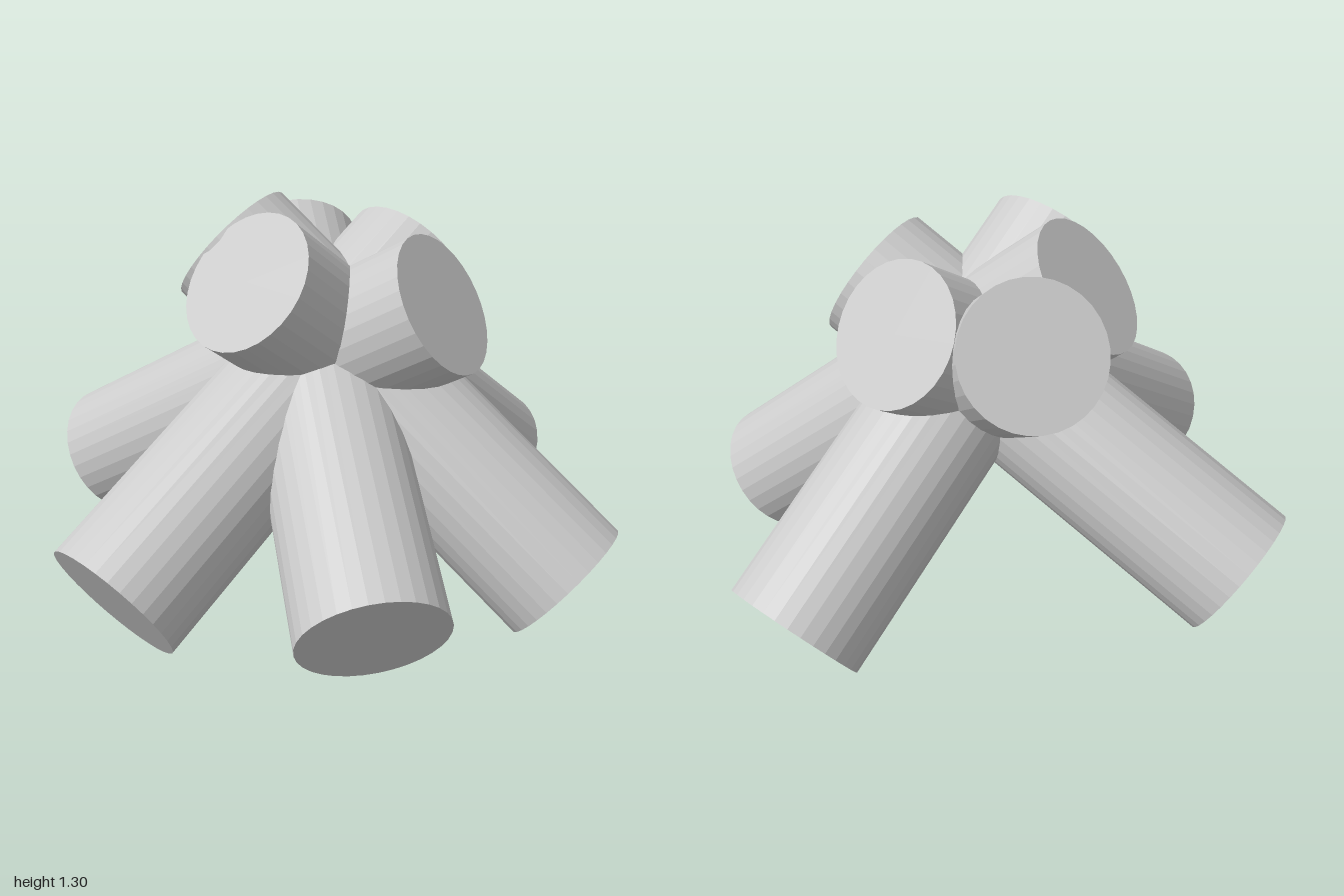
import * as THREE from 'three';

const RADIUS = 0.228;
const SIDES = 32;

// Each log runs from its foot to its upper end, all crossing at one hub
const LOGS = [
  { name: 'frontLog', foot: [0.02, 0.25, 0.88], top: [0.02, 1.04, -0.4] },
  { name: 'backLog', foot: [0.02, 0.202, -0.86], top: [0.02, 1.115, 0.335] },
  { name: 'rightLog', foot: [-0.845, 0.265, 0.235], top: [0.405, 1.03, -0.12] },
  { name: 'leftBackLog', foot: [0.81, 0.178, -0.275], top: [-0.302, 1.127, 0.105] },
  { name: 'leftFrontLog', foot: [0.695, 0.25, 0.483], top: [-0.372, 1.04, -0.225] },
];

// Straight capped cylinder between two points
function makeLog({ name, foot, top }, material) {
  const a = new THREE.Vector3(...foot);
  const b = new THREE.Vector3(...top);
  const axis = b.clone().sub(a);
  const log = new THREE.Mesh(
    new THREE.CylinderGeometry(RADIUS, RADIUS, axis.length(), SIDES),
    material,
  );
  log.name = name;
  log.position.copy(a).add(b).multiplyScalar(0.5);
  log.quaternion.setFromUnitVectors(new THREE.Vector3(0, 1, 0), axis.normalize());
  return log;
}

export function createModel() {
  const group = new THREE.Group();
  group.name = 'logPile';
  const material = new THREE.MeshStandardMaterial({ color: 0xcccccc, flatShading: true });
  for (const spec of LOGS) group.add(makeLog(spec, material));
  return group;
}
